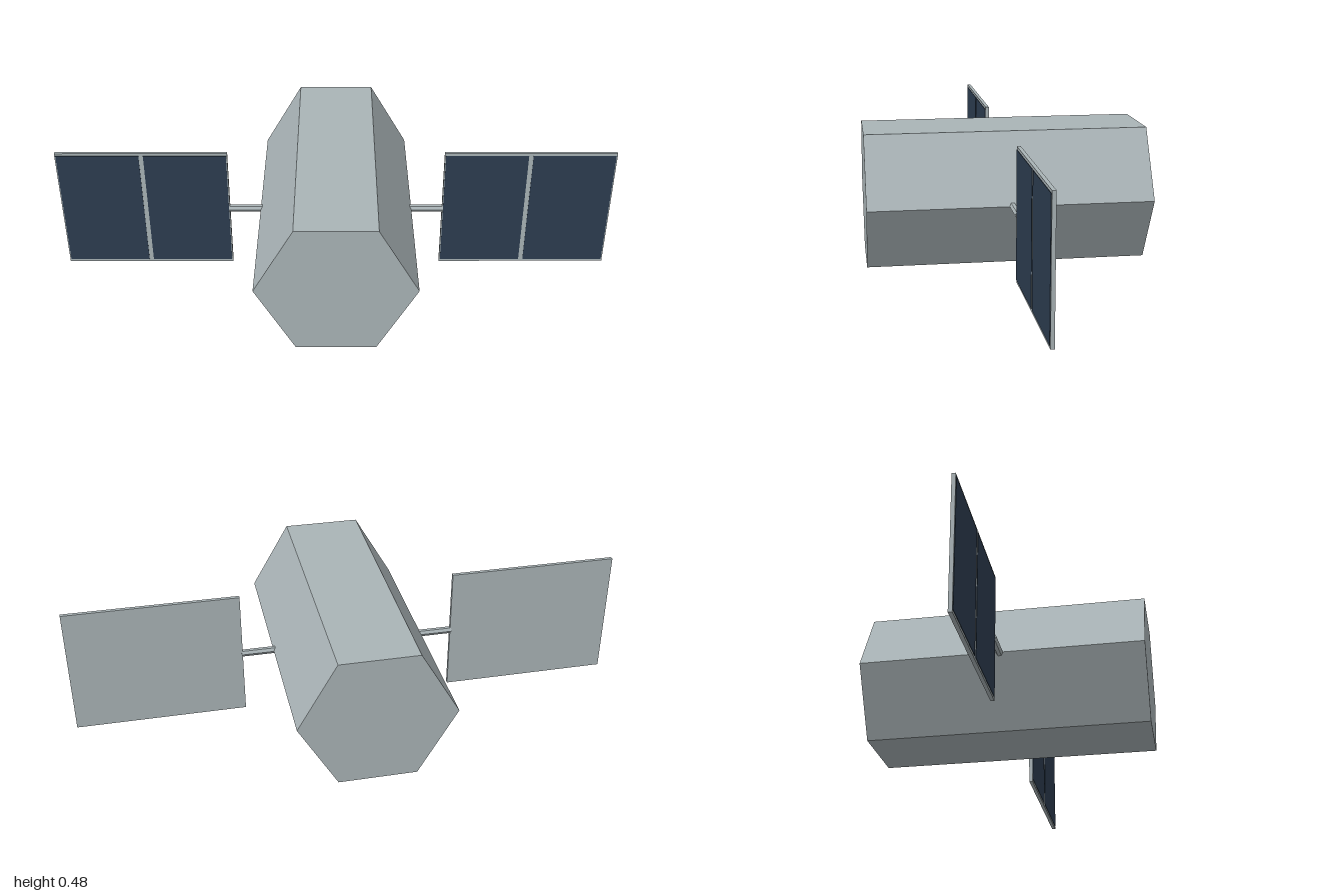
import * as THREE from 'three';

export function createModel() {
  const model = new THREE.Group();
  model.name = 'satellite';

  const hull = new THREE.MeshStandardMaterial({ color: 0xaab4b7 });
  hull.name = 'hull grey';
  hull.flatShading = true;
  const blue = new THREE.MeshStandardMaterial({ color: 0x2d3d50 });
  blue.name = 'solar cell blue';

  const radius = 0.275;
  const midY = radius * Math.cos(Math.PI / 6);

  const add = (parent, name, geometry, material, x, y, z) => {
    const mesh = new THREE.Mesh(geometry, material);
    mesh.name = name;
    mesh.position.set(x, y, z);
    parent.add(mesh);
    return mesh;
  };

  // Hexagonal body lying along z, with corners to the left and right
  const bodyGeometry = new THREE.CylinderGeometry(radius, radius, 1, 6, 1, false, Math.PI / 2);
  bodyGeometry.rotateX(Math.PI / 2);
  add(model, 'body', bodyGeometry, hull, 0, midY, 0);

  // Solar wings, one on each side
  const inner = 0.387, outer = 1, width = outer - inner;
  const height = 0.468, thickness = 0.013;
  const margin = 0.004, gap = 0.016, cellHeight = 0.449;
  const cellWidth = (width - 2 * margin - gap) / 2;
  const armStart = 0.26;

  const armGeometry = new THREE.CylinderGeometry(0.0125, 0.0125, inner + 0.004 - armStart, 6);
  armGeometry.rotateZ(Math.PI / 2);
  const panelGeometry = new THREE.BoxGeometry(width, height, thickness);
  const cellGeometry = new THREE.BoxGeometry(cellWidth, cellHeight, 0.002);

  for (const side of [1, -1]) {
    const wing = new THREE.Group();
    wing.name = side > 0 ? 'leftWing' : 'rightWing';
    model.add(wing);

    const centre = side * (inner + outer) / 2;
    add(wing, 'arm', armGeometry, hull, side * (armStart + inner + 0.004) / 2, midY, 0);
    add(wing, 'panel', panelGeometry, hull, centre, midY, 0);

    // Two cells on the front face
    for (const k of [-1, 1]) {
      add(wing, 'solarCell', cellGeometry, blue,
        centre + k * (cellWidth + gap) / 2, midY, thickness / 2 + 0.0005);
    }
  }

  return model;
}
